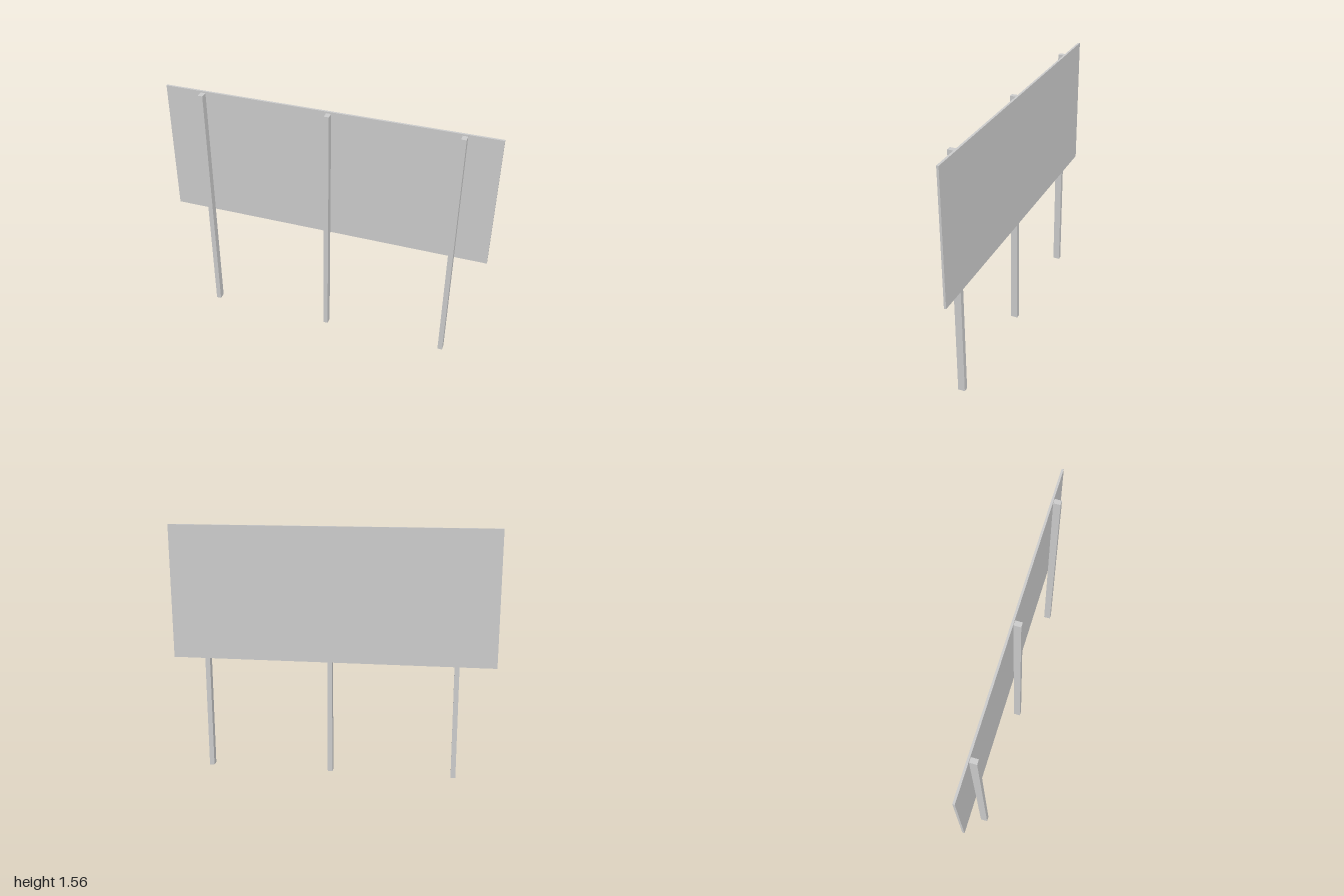
import * as THREE from 'three';

const TILT = -0.003; // the whole sign leans very slightly clockwise

export function createModel() {
  const model = new THREE.Group();
  model.name = 'billboard';
  const material = new THREE.MeshStandardMaterial({ color: 0xcccccc, flatShading: true });

  const addBox = (name, size, position) => {
    const mesh = new THREE.Mesh(new THREE.BoxGeometry(...size), material);
    mesh.name = name;
    mesh.position.set(...position);
    mesh.rotation.z = TILT;
    model.add(mesh);
  };

  // Thin panel behind the posts
  addBox('panel', [1.997, 0.83, 0.013], [0, 1.142, -0.0215]);

  // Three square-cut posts, evenly spaced
  ['rightPost', 'middlePost', 'leftPost'].forEach((name, i) => {
    const x = -0.762 + i * 0.7745;
    addBox(name, [0.03, 1.543, 0.043], [x, 0.774 + (x - 0.787) * TILT, 0.0075]);
  });

  return model;
}
